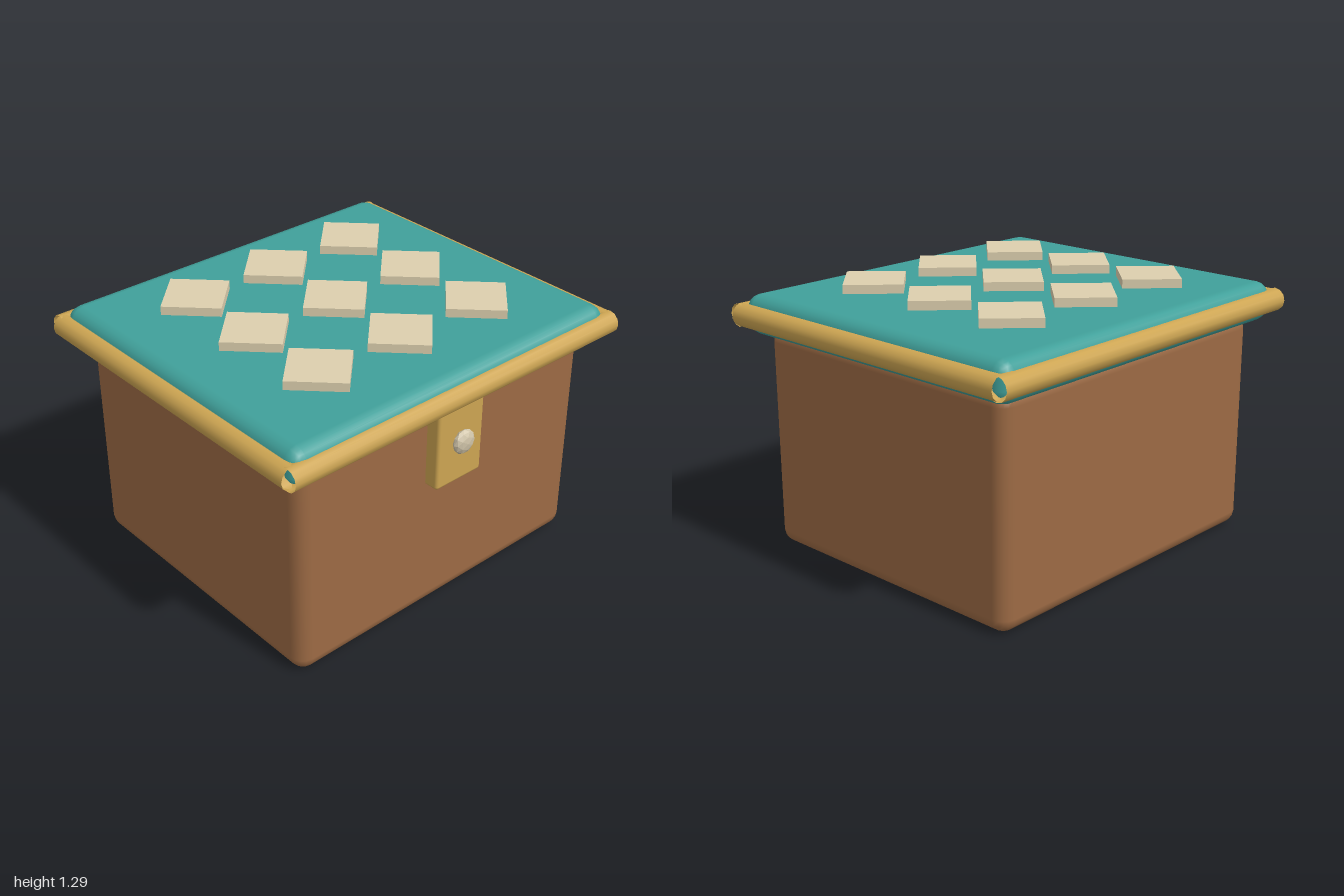
import * as THREE from 'three';
import { RoundedBoxGeometry } from 'three/addons/geometries/RoundedBoxGeometry.js';

const paint = (color, extra = {}) => Object.assign(new THREE.MeshStandardMaterial({ color }), extra);

export function createModel() {
  const model = new THREE.Group();
  model.name = 'chest';

  const wood = paint(0x9c6a44);
  const teal = paint(0x40a09a);
  const gold = paint(0xcda552);
  const goldTube = paint(0xcda552, { side: THREE.DoubleSide });
  const ivory = paint(0xdccfae);
  const stud = paint(0xcfc3a8, { flatShading: true });

  const add = (name, geometry, material, x, y, z) => {
    const mesh = new THREE.Mesh(geometry, material);
    mesh.name = name;
    mesh.position.set(x, y, z);
    model.add(mesh);
    return mesh;
  };

  // Body and overhanging lid
  add('body', new RoundedBoxGeometry(1.72, 1.08, 1.5, 2, 0.07), wood, 0, 0.54, 0);
  add('lid', new RoundedBoxGeometry(1.88, 0.19, 1.65, 2, 0.07), teal, 0, 1.14, 0);

  // Open-ended trim rods around the lid
  const rod = (length) => new THREE.CylinderGeometry(0.055, 0.055, length, 12, 1, true);
  for (const s of [-1, 1]) {
    add(s > 0 ? 'frontTrim' : 'backTrim', rod(1.935), goldTube, 0, 1.14, s * 0.815).rotation.z = Math.PI / 2;
    add(s > 0 ? 'leftTrim' : 'rightTrim', rod(1.64), goldTube, s * 0.945, 1.14, 0).rotation.x = Math.PI / 2;
  }

  // Diamond tiles hovering just above the lid
  const tile = new THREE.BoxGeometry(0.276, 0.042, 0.276);
  for (let i = -1; i <= 1; i++) {
    for (let j = -1; j <= 1; j++) {
      add('tile', tile, ivory, i * 0.473, 1.271, j * 0.43).rotation.y = Math.PI / 4;
    }
  }

  // Latch plate with a flattened faceted stud
  add('latch', new RoundedBoxGeometry(0.274, 0.4, 0.1, 2, 0.015), gold, 0, 0.895, 0.77);
  add('latchStud', new THREE.IcosahedronGeometry(0.06, 1), stud, 0, 0.907, 0.838).scale.z = 0.5;

  return model;
}
